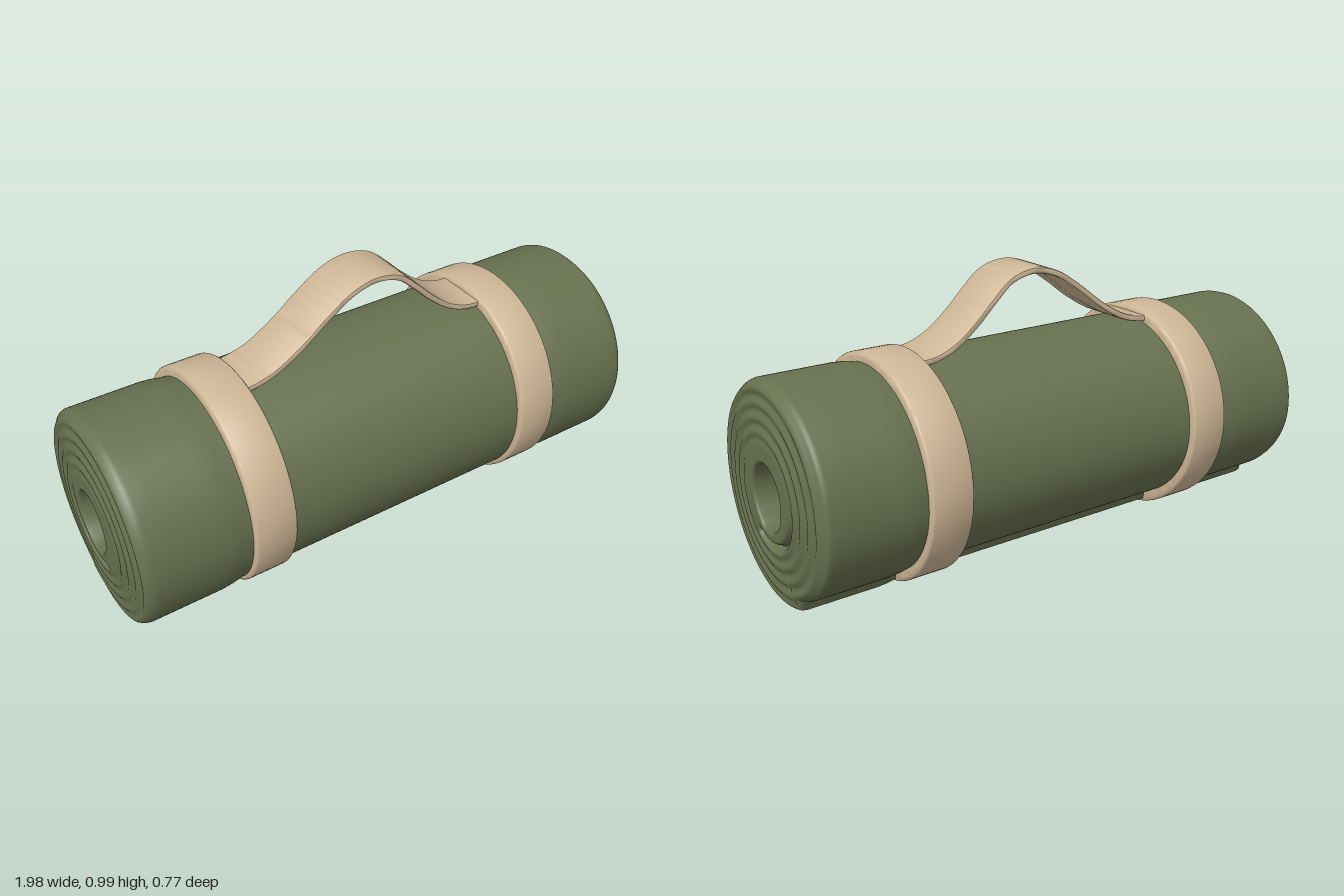
import * as THREE from 'three';
import { toCreasedNormals } from 'three/addons/utils/BufferGeometryUtils.js';

const green = new THREE.MeshStandardMaterial({ color: 0x67714f });
green.name = 'olive mat';
const tan = new THREE.MeshStandardMaterial({ color: 0xcfb797 });
tan.name = 'tan webbing';

const CY = 0.373;    // height of the roll axis
const SEAM = -0.36;  // angle of the loose outer edge, measured from straight down towards +z
const { smoothstep, lerp } = THREE.MathUtils;
const wrap = (a) => Math.atan2(Math.sin(a), Math.cos(a));

// Outer radius: one sheet thickness is lost just before the loose edge, and the straps squeeze the middle
function outerRadius(x, t) {
  const squeeze = 1 - smoothstep(Math.abs(x), 0.6, 0.68);
  return 0.371 - 0.004 * t / 6.28 - 0.022 * smoothstep(t, 5.1, 6.24) - 0.011 * squeeze;
}

// Teardrop hole, pointed where the inner end of the sheet lies
function holeRadius(phi) {
  const d = wrap(phi - 0.31);
  const tip = Math.exp(-Math.pow(d / (d > 0 ? 0.3 : 0.75), 2));
  return 0.1 + 0.008 * Math.cos(phi) ** 2 + 0.012 * tip;
}

// Rounded fall-off within w of an edge
const roundOff = (d, w) => (d >= w ? 0 : w * (1 - Math.sqrt(Math.max(0, 1 - ((w - d) / w) ** 2))));

// End face position: domed, with soft spiral ridges and a groove beside the inner end
function faceX(r, t, R, h) {
  const phi = SEAM + t, p = wrap(phi), pitch = 0.045;
  const ridge = 0.0035 * Math.cos(2 * Math.PI * (r / pitch + phi / (2 * Math.PI)));
  const ridgeFade = smoothstep(r, 0.15, 0.2);
  const along = smoothstep(p, -1.9, -0.9) * (1 - smoothstep(p, 0.45, 0.6));
  const groove = 0.028 * along * Math.exp(-(((r - 0.162) / 0.009) ** 2));
  return 0.994 - 0.024 * (r / R) ** 2 + ridge * ridgeFade - groove
    - roundOff(R - r, 0.03) - roundOff(r - h, 0.01);
}

// Rolled mat: one closed surface, running from the hole floor at +x to the hole floor at -x
function rollGeometry() {
  const N = 180, FACE = 56, BODY = 48, FLOOR = 0.8;
  const end = [(t, h) => [FLOOR, 0], (t, h) => [FLOOR, h * 0.9], (t, h) => [FLOOR, h], (t, h) => [FLOOR + 0.02, h], (t, h) => [0.95, h]];
  for (let i = 0; i <= FACE; i++) {
    const u = 0.5 - 0.5 * Math.cos(Math.PI * i / FACE);
    const s = lerp(u, i / FACE, 0.7);
    end.push((t, h) => {
      const R = outerRadius(1, t), r = lerp(h, R, s);
      return [faceX(r, t, R, h), r];
    });
  }
  const body = [];
  for (let i = 1; i < BODY; i++) {
    const x = 0.92 * (1 - 2 * i / BODY);
    body.push((t) => [x, outerRadius(x, t)]);
  }
  const mirrored = end.map((f) => (t, h) => { const [x, r] = f(t, h); return [-x, r]; }).reverse();
  const rows = [...end, ...body, ...mirrored];

  const pos = [], idx = [], M = rows.length;
  for (let i = 0; i < N; i++) {
    const t = 2 * Math.PI * i / N, phi = SEAM + t, h = holeRadius(phi);
    for (const f of rows) {
      const [x, r] = f(t, h);
      pos.push(x, CY - r * Math.cos(phi), r * Math.sin(phi));
    }
    const a0 = i * M, b0 = ((i + 1) % N) * M;
    for (let j = 0; j < M - 1; j++) {
      const a = a0 + j, b = b0 + j;
      idx.push(a, b, a + 1, b, b + 1, a + 1);
    }
  }
  const g = new THREE.BufferGeometry();
  g.setAttribute('position', new THREE.Float32BufferAttribute(pos, 3));
  g.setIndex(idx);
  g.computeVertexNormals();
  return g;
}

// Strap: a flat ring with rounded edges
function strapGeometry(w) {
  const R = 0.383, inner = 0.335, c = 0.014, pts = [new THREE.Vector2(inner, -w)];
  for (const [sy, from] of [[-1, -90], [1, 0]]) {
    for (let k = 0; k <= 5; k++) {
      const a = THREE.MathUtils.degToRad(from + 18 * k);
      pts.push(new THREE.Vector2(R - c + c * Math.cos(a), sy * (w - c) + c * Math.sin(a)));
    }
  }
  pts.push(new THREE.Vector2(inner, w), new THREE.Vector2(inner, -w));
  return toCreasedNormals(new THREE.LatheGeometry(pts, 96).rotateZ(-Math.PI / 2), 0.7);
}

// Handle: a ribbon outline offset both ways from a curve, extruded across z
function handleGeometry() {
  const curve = new THREE.CatmullRomCurve3([
    [-0.49, 0.733], [-0.43, 0.737], [-0.35, 0.758], [-0.25, 0.815], [-0.14, 0.897], [-0.05, 0.953],
    [0.04, 0.974], [0.13, 0.953], [0.2, 0.895], [0.27, 0.828], [0.35, 0.768], [0.43, 0.737], [0.51, 0.733],
  ].map(([x, y]) => new THREE.Vector3(x, y, 0)));
  const top = [], bottom = [], n = 72, half = 0.006;
  for (let i = 0; i <= n; i++) {
    const p = curve.getPoint(i / n), d = curve.getTangent(i / n);
    top.push(new THREE.Vector2(p.x - d.y * half, p.y + d.x * half));
    bottom.push(new THREE.Vector2(p.x + d.y * half, p.y - d.x * half));
  }
  const shape = new THREE.Shape([...bottom, ...top.reverse()]);
  const g = new THREE.ExtrudeGeometry(shape, {
    depth: 0.18, bevelEnabled: true, bevelSize: 0.005, bevelThickness: 0.008, bevelSegments: 3,
  });
  return toCreasedNormals(g.translate(0, 0, -0.09), 0.6);
}

export function createModel() {
  const group = new THREE.Group();
  const add = (name, geometry, material, x = 0, y = 0) => {
    const m = new THREE.Mesh(geometry, material);
    m.name = name;
    m.position.set(x, y, 0);
    group.add(m);
  };
  add('rolledMat', rollGeometry(), green);
  const strap = strapGeometry(0.076);
  add('rightStrap', strap, tan, -0.525, 0.383);
  add('leftStrap', strap, tan, 0.55, 0.383);
  add('carryHandle', handleGeometry(), tan);
  return group;
}
